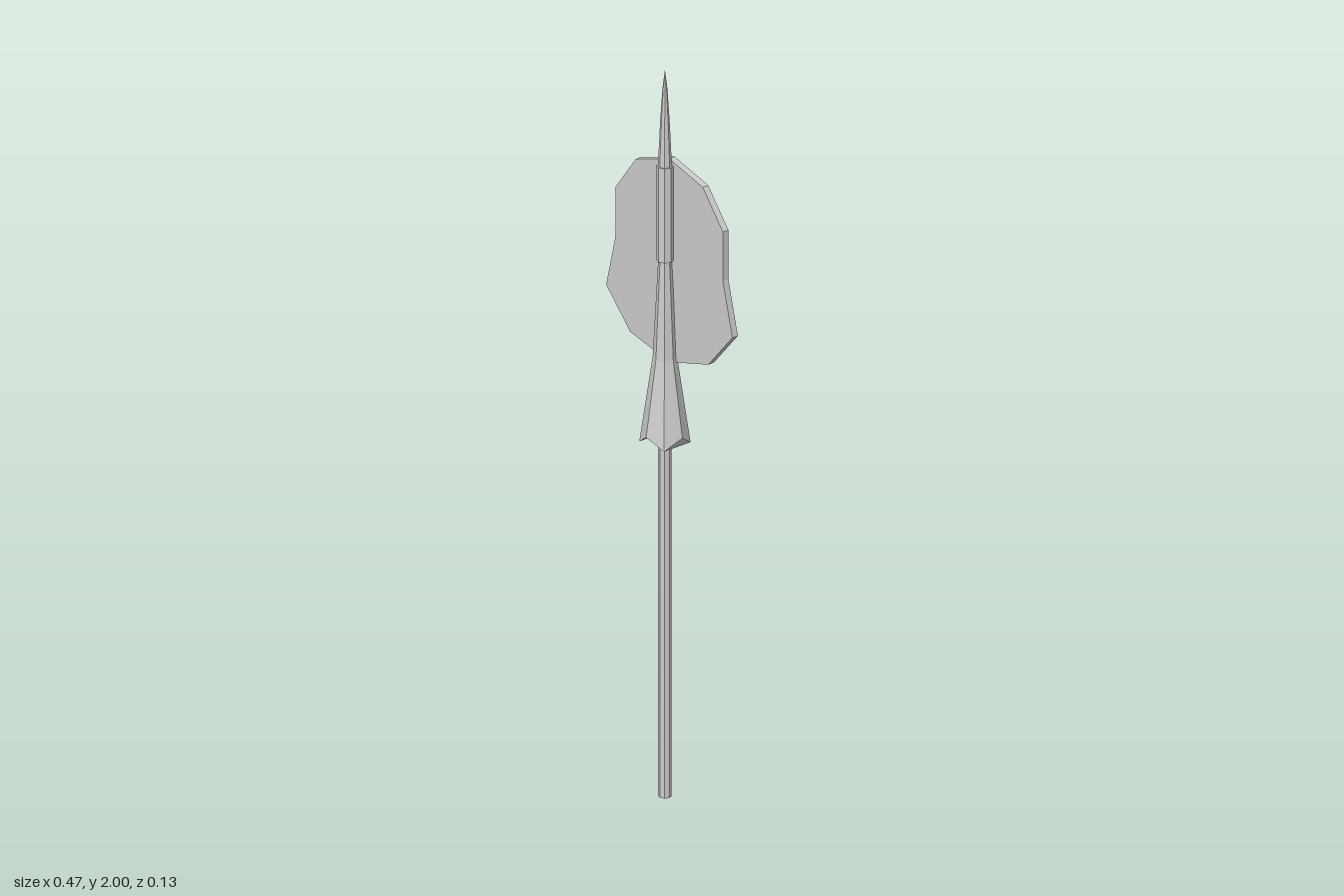
import * as THREE from 'three';

const grey = new THREE.MeshStandardMaterial({ color: 0xcccccc, flatShading: true });
const thin = new THREE.MeshStandardMaterial({ color: 0xcccccc, flatShading: true, side: THREE.DoubleSide });

const vec = (list) => list.map(([x, y]) => new THREE.Vector2(x, y));

function add(group, name, geometry, material = grey) {
  const mesh = new THREE.Mesh(geometry, material);
  mesh.name = name;
  group.add(mesh);
  return mesh;
}

// Eight-sided turned part from [radius, height] pairs, bottom to top
const turned = (profile) => new THREE.LatheGeometry(vec(profile), 8);

function triangles(points, index) {
  const g = new THREE.BufferGeometry();
  g.setAttribute('position', new THREE.Float32BufferAttribute(points.flat(), 3));
  g.setIndex(index);
  g.computeVertexNormals();
  return g;
}

// Hand guard height at the rim: diagonal corners hang lower
const rimHeight = (i) => (i % 2 ? 0.975 : 1.005);

export function createModel() {
  const model = new THREE.Group();
  model.name = 'lance';

  add(model, 'shaft', turned([[0, 0], [0.017, 0], [0.017, 1.05]]));

  // Flared hand guard with a notched rim
  const guard = turned([[0.065, 1], [0.031, 1.21], [0.017, 1.48]]);
  const pos = guard.attributes.position;
  for (let i = 0; i <= 8; i++) pos.setY(i * 3, rimHeight(i));
  guard.computeVertexNormals();
  add(model, 'handGuard', guard, thin);

  // Folded underside closing the guard
  const rim = [];
  for (let i = 0; i < 8; i++) {
    const a = (i * Math.PI) / 4;
    rim.push([0.065 * Math.sin(a), rimHeight(i), 0.065 * Math.cos(a)]);
  }
  add(model, 'guardUnderside', triangles(rim, [
    0, 3, 1, 0, 4, 3, 1, 3, 2,
    0, 5, 4, 0, 7, 5, 5, 7, 6,
  ]), thin);

  add(model, 'collar', turned([[0, 1.475], [0.022, 1.475], [0.022, 1.735], [0, 1.735]]));
  add(model, 'tip', turned([[0.018, 1.73], [0.012, 1.86], [0.006, 1.95], [0, 2]]));

  // Flat shield behind the collar, mirrored about x = 0
  const half = [[0.125, 1.71], [0.2, 1.61], [0.2, 1.475], [0.235, 1.33], [0.145, 1.228]];
  const mirrored = half.map(([x, y]) => [-x, y]).reverse();
  const outline = vec([[0, 1.75], ...half, [0, 1.19], ...mirrored]);
  const shield = new THREE.ExtrudeGeometry(new THREE.Shape(outline), { depth: 0.019, bevelEnabled: false });
  add(model, 'shield', shield).position.z = -0.034;

  // Thin tapered plate leaning away from the shield's back
  add(model, 'backPlate', triangles([
    [0, 1.55, -0.036],
    [0.03, 1.5, -0.039], [-0.03, 1.5, -0.039],
    [0.055, 1.325, -0.052], [-0.055, 1.325, -0.052],
    [0, 1.27, -0.051],
  ], [0, 1, 2, 1, 3, 2, 2, 3, 4, 3, 5, 4]), thin);

  return model;
}
